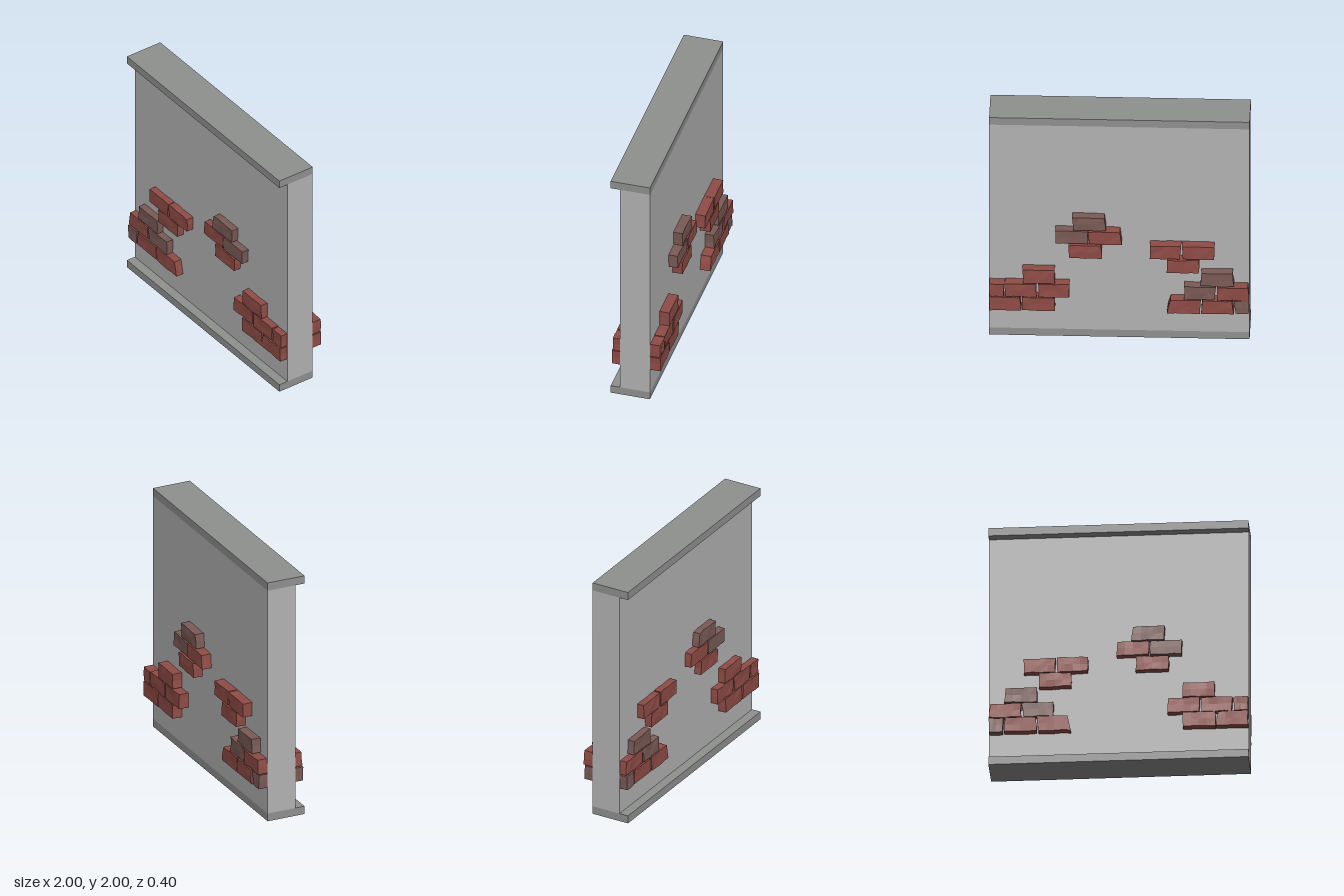
import * as THREE from 'three';

const mat = (name, color) => {
  const m = new THREE.MeshStandardMaterial({ color });
  m.name = name;
  return m;
};

// Small seeded generator for the uneven brick edges
function seeded(seed) {
  let s = seed;
  return () => {
    s = (s * 16807) % 2147483647;
    return s / 2147483647 - 0.5;
  };
}

function box(name, material, x0, x1, y0, y1, z0, z1) {
  const g = new THREE.BoxGeometry(x1 - x0, y1 - y0, z1 - z0);
  g.translate((x0 + x1) / 2, (y0 + y1) / 2, (z0 + z1) / 2);
  const mesh = new THREE.Mesh(g, material);
  mesh.name = name;
  return mesh;
}

// Rough brick running right through the wall; lean shifts the top edge of each end
function brickGeometry([x0, x1, y0, y1, leanL, leanR], front, back, rand) {
  const nx = 4;
  const g = new THREE.BoxGeometry(1, 1, 1, nx, 2, 1);
  const p = g.attributes.position;
  const offsets = {};
  for (let i = 0; i < p.count; i++) {
    const u = p.getX(i) + 0.5, v = p.getY(i) + 0.5, w = p.getZ(i);
    // Coincident corners share one offset so the faces stay joined
    const key = [u, v, w].map((n) => n.toFixed(2)).join();
    offsets[key] ??= [rand() * 0.008, rand() * 0.007, rand() * 0.006];
    const [dx, dy, dz] = offsets[key];
    const left = x0 + leanL * (v - 0.5), right = x1 + leanR * (v - 0.5);
    p.setXYZ(
      i,
      THREE.MathUtils.clamp(left + (right - left) * u + dx, -0.998, 0.998),
      y0 + (y1 - y0) * v + dy,
      (w > 0 ? front : back) + dz
    );
  }
  const flat = g.toNonIndexed();
  flat.computeVertexNormals();
  return flat;
}

export function createModel() {
  const model = new THREE.Group();
  model.name = 'wallPanel';

  const plaster = mat('plasterGrey', 0xb3b3b3);
  const trim = mat('trimGrey', 0x8f918f);
  const red = mat('brickRed', 0x904c46);
  const brown = mat('brickBrown', 0x7b5b56);

  // Wall slab with a skirting and a cornice that project at the front
  model.add(box('wall', plaster, -1, 1, 0.065, 1.935, -0.115, 0.125));
  model.add(box('baseTrim', trim, -1, 1, 0, 0.065, -0.115, 0.2));
  model.add(box('topTrim', trim, -1, 1, 1.935, 2, -0.115, 0.2));

  // Exposed bricks: x0, x1, y0, y1, left lean, right lean, brown?
  const clusters = {
    leftBricks: [
      [-0.998, -0.887, 0.28, 0.395, 0, 0.01, 1],
      [-0.875, -0.633, 0.28, 0.397, 0.015, -0.01, 0],
      [-0.621, -0.381, 0.28, 0.4, -0.008, -0.022, 0],
      [-0.993, -0.75, 0.405, 0.52, 0.008, 0.004, 0],
      [-0.737, -0.5, 0.405, 0.522, -0.016, 0, 1],
      [-0.875, -0.628, 0.53, 0.648, 0.012, -0.003, 1],
      [-0.615, -0.365, 0.652, 0.768, 0, 0, 0],
      [-0.728, -0.486, 0.777, 0.893, 0, 0.003, 0],
      [-0.472, -0.236, 0.777, 0.895, -0.01, -0.004, 0],
    ],
    middleBricks: [
      [0.135, 0.385, 0.77, 0.885, 0.004, 0, 0],
      [-0.012, 0.233, 0.9, 1.013, 0.012, 0.002, 0],
      [0.243, 0.486, 0.9, 1.013, 0.008, 0, 1],
      [0.108, 0.355, 1.022, 1.137, 0.012, 0.008, 1],
    ],
    rightBricks: [
      [0.493, 0.745, 0.28, 0.397, 0, 0.003, 0],
      [0.758, 0.996, 0.28, 0.397, 0.014, 0, 0],
      [0.381, 0.62, 0.405, 0.523, 0.004, 0.004, 0],
      [0.634, 0.873, 0.405, 0.523, -0.004, 0.006, 0],
      [0.884, 0.996, 0.405, 0.518, -0.004, 0, 0],
      [0.494, 0.739, 0.53, 0.65, 0, 0, 0],
    ],
  };

  const rand = seeded(4127);
  for (const [name, bricks] of Object.entries(clusters)) {
    const group = new THREE.Group();
    group.name = name;
    bricks.forEach((b, i) => {
      const isBrown = b[6];
      const front = b[2] < 0.3 ? 0.188 : 0.182;
      const back = isBrown ? -0.188 : -0.195;
      const mesh = new THREE.Mesh(brickGeometry(b, front, back, rand), isBrown ? brown : red);
      mesh.name = `brick${i + 1}`;
      group.add(mesh);
    });
    model.add(group);
  }
  return model;
}
